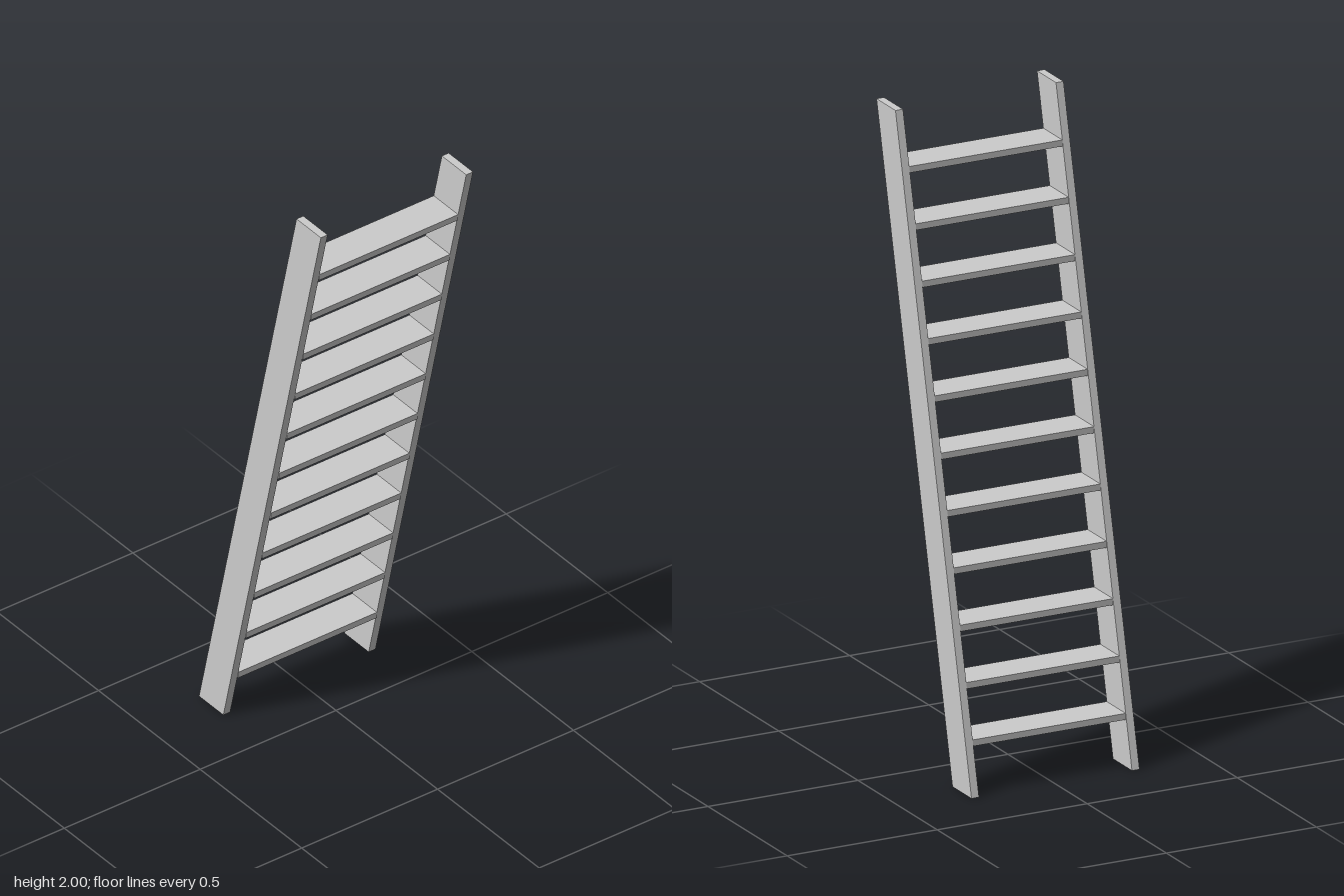
import * as THREE from 'three';

const HEIGHT = 2, HALF_WIDTH = 0.28, RAIL = 0.025, DEPTH = 0.12;
const STEPS = 11, TREAD = 0.02;

// Centre line of the leaning rails
const leanZ = (y) => -0.24 + 0.24 * y;

export function createModel() {
  const ladder = new THREE.Group();
  ladder.name = 'ladder';
  const material = new THREE.MeshStandardMaterial({ color: 0xcccccc, flatShading: true });

  // Side rails: upright boards sheared forward, with level ends
  const railGeometry = new THREE.BoxGeometry(RAIL, HEIGHT, DEPTH);
  railGeometry.translate(0, HEIGHT / 2, 0);
  const p = railGeometry.attributes.position;
  for (let i = 0; i < p.count; i++) p.setZ(i, p.getZ(i) + leanZ(p.getY(i)));
  railGeometry.computeVertexNormals();
  for (const [name, side] of [['leftRail', 1], ['rightRail', -1]]) {
    const rail = new THREE.Mesh(railGeometry, material);
    rail.name = name;
    rail.position.x = side * (HALF_WIDTH - RAIL / 2);
    ladder.add(rail);
  }

  // Level treads, evenly spaced between the rails
  const treadGeometry = new THREE.BoxGeometry(2 * (HALF_WIDTH - RAIL), TREAD, DEPTH);
  for (let i = 1; i <= STEPS; i++) {
    const top = (HEIGHT * i) / (STEPS + 1);
    const tread = new THREE.Mesh(treadGeometry, material);
    tread.name = `tread${i}`;
    tread.position.set(0, top - TREAD / 2, leanZ(top));
    ladder.add(tread);
  }
  return ladder;
}
